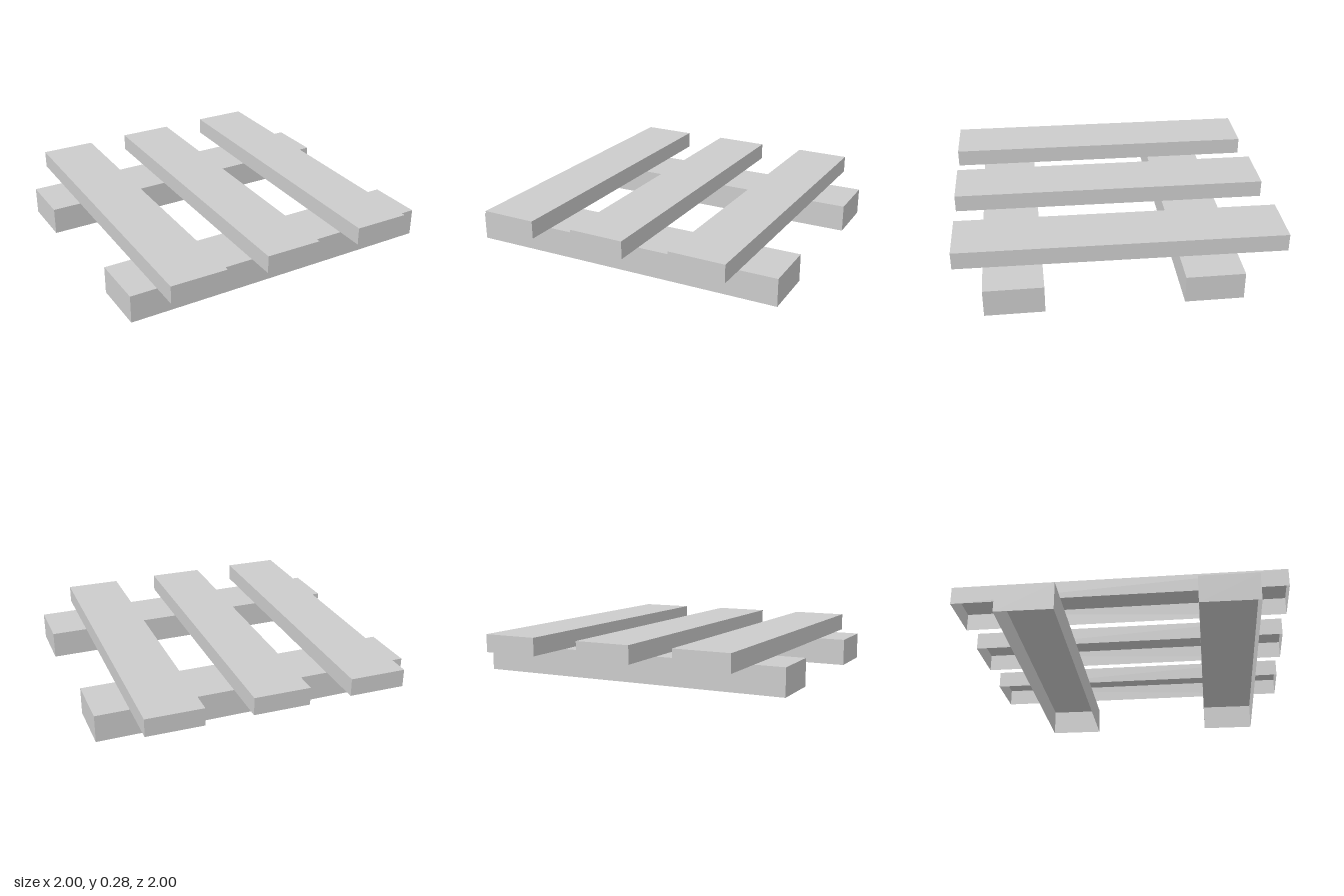
import * as THREE from 'three';

const material = new THREE.MeshStandardMaterial({
  color: 0xcccccc, flatShading: true, side: THREE.DoubleSide,
});

// Board standing on y = 0, hollow and open underneath
function board(name, width, height, depth) {
  const geometry = new THREE.BoxGeometry(width, height, depth);
  const corners = Array.from(geometry.index.array);
  corners.splice(18, 6); // drop the bottom face (fourth side of the box)
  geometry.setIndex(corners);
  geometry.clearGroups();
  geometry.translate(0, height / 2, 0);
  const mesh = new THREE.Mesh(geometry, material);
  mesh.name = name;
  return mesh;
}

export function createModel() {
  const pallet = new THREE.Group();
  pallet.name = 'pallet';
  const beamHeight = 0.17, slatHeight = 0.11, boardWidth = 0.348;

  // Two beams lying on the ground
  [['backBeam', -0.51], ['frontBeam', 0.648]].forEach(([name, z]) => {
    const beam = board(name, 2, beamHeight, boardWidth);
    beam.position.z = z;
    pallet.add(beam);
  });

  // Three slightly skewed slats across the beams
  [['rightSlat', -0.65], ['middleSlat', -0.034], ['leftSlat', 0.607]].forEach(([name, x]) => {
    const slat = board(name, boardWidth, slatHeight, 1.995);
    slat.position.set(x, beamHeight, 0);
    slat.rotation.y = -0.0155;
    pallet.add(slat);
  });

  return pallet;
}
